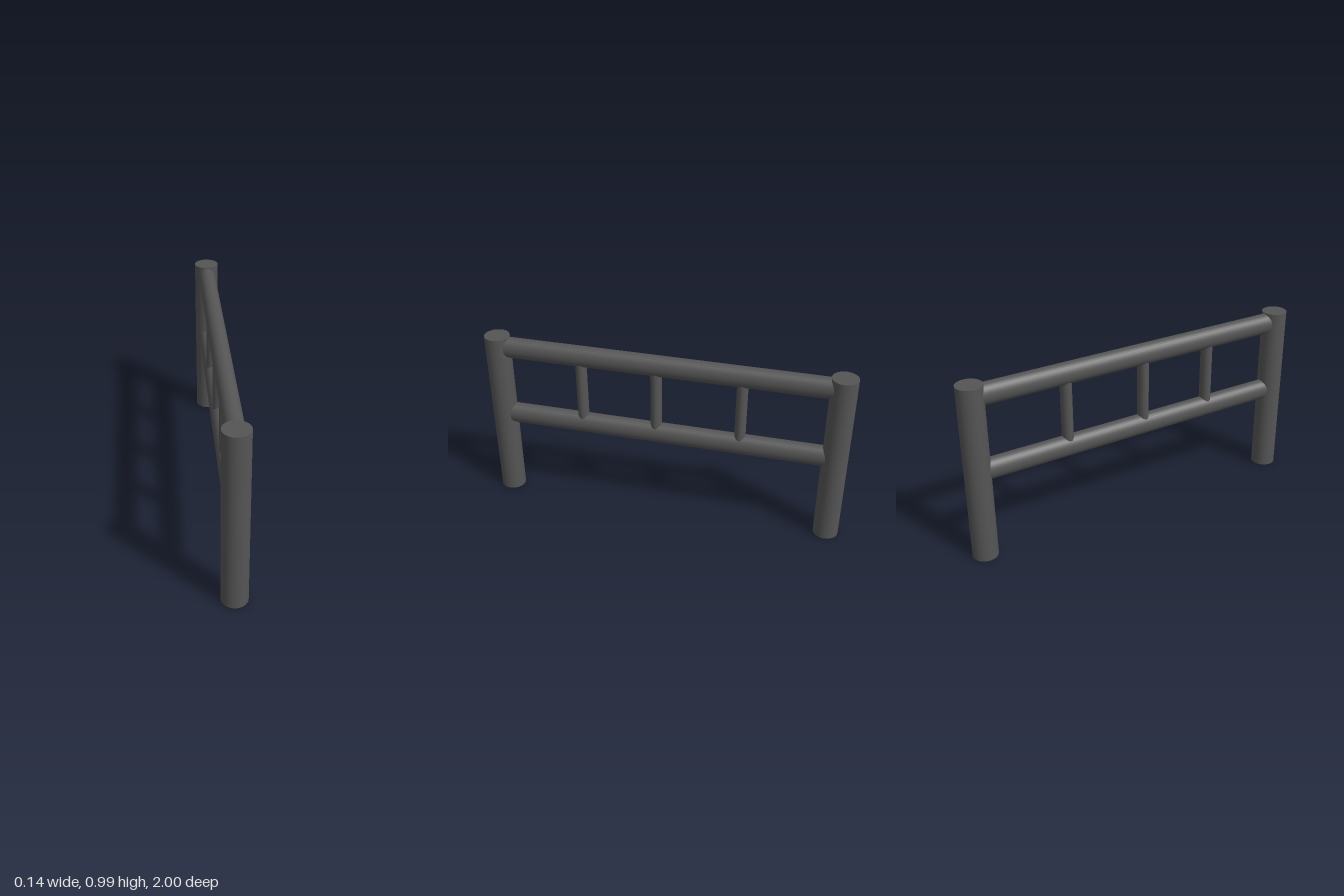
import * as THREE from 'three';

export function createModel() {
  const group = new THREE.Group();
  const metal = new THREE.MeshStandardMaterial({ color: 0x555555, side: THREE.DoubleSide });
  metal.name = 'dark grey metal';

  function add(name, geometry, x, y, z) {
    const mesh = new THREE.Mesh(geometry, metal);
    mesh.name = name;
    mesh.position.set(x, y, z);
    group.add(mesh);
    return mesh;
  }

  // Upright posts: closed on top, open underneath
  const postRadius = 0.069, postHeight = 0.985, postZ = 1 - postRadius;
  const postWall = new THREE.CylinderGeometry(postRadius, postRadius, postHeight, 32, 1, true);
  const postCap = new THREE.CircleGeometry(postRadius, 32).rotateX(-Math.PI / 2);
  for (const [side, z] of [['front', postZ], ['back', -postZ]]) {
    add(side + 'Post', postWall, 0, postHeight / 2, z);
    add(side + 'PostCap', postCap, 0, postHeight, z);
  }

  // Horizontal rails: oval tubes running between the posts
  const rail = new THREE.CylinderGeometry(1, 1, 2 * postZ, 32, 1, true)
    .rotateX(Math.PI / 2)
    .scale(0.049, 0.059, 1);
  const lowerY = 0.505, upperY = 0.92;
  add('lowerRail', rail, 0, lowerY, 0);
  add('upperRail', rail, 0, upperY, 0);

  // Slim oval balusters between the rails
  const baluster = new THREE.CylinderGeometry(1, 1, upperY - lowerY, 24, 1, true)
    .scale(0.037, 1, 0.03);
  for (const z of [0.459, 0.043, -0.42]) {
    add('baluster', baluster, 0, (lowerY + upperY) / 2, z);
  }

  return group;
}
